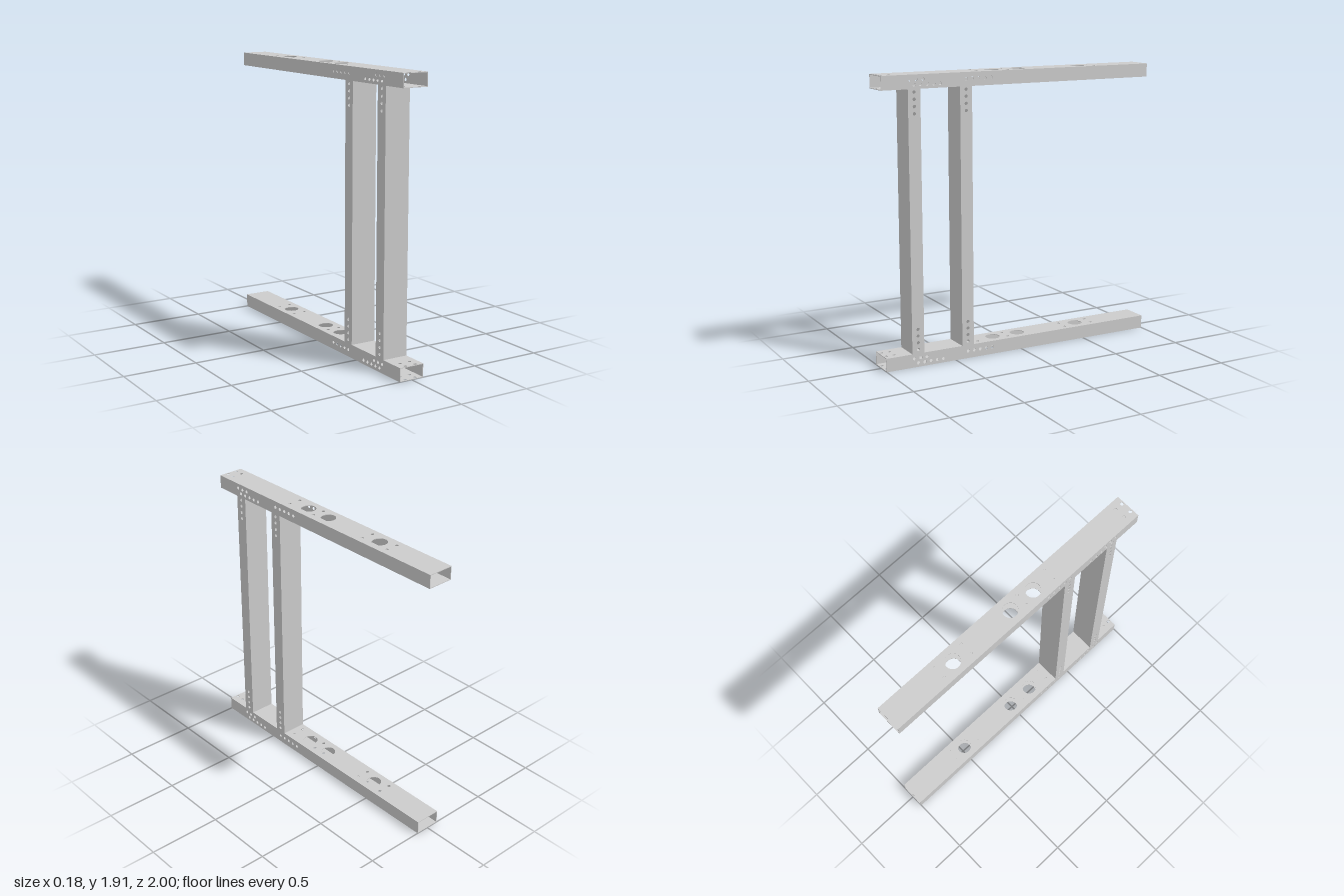
import * as THREE from 'three';

const WIDTH = 0.178, RAIL_H = 0.091, POST_D = 0.086, WALL = 0.004;
const HEIGHT = 1.91, LENGTH = 2, SMALL = 0.011, BIG = 0.05;
const POST_Z = [0.775, 0.41];
const PITCH = 0.0455;

const material = new THREE.MeshStandardMaterial({ color: 0xcccccc });

// Flat plate with round holes [u, v, radius], extruded by the wall thickness
function plate(u0, u1, v0, v1, holes = []) {
  const shape = new THREE.Shape();
  shape.moveTo(u0, v0).lineTo(u1, v0).lineTo(u1, v1).lineTo(u0, v1).closePath();
  for (const [u, v, r] of holes) {
    shape.holes.push(new THREE.Path().absarc(u, v, r, 0, Math.PI * 2, true));
  }
  return new THREE.ExtrudeGeometry(shape, { depth: WALL, bevelEnabled: false, curveSegments: 24 });
}

function add(group, name, geometry) {
  const mesh = new THREE.Mesh(geometry, material);
  mesh.name = name;
  group.add(mesh);
}

// Plate lying flat (u = x, v = z), with its upper face at y
const flat = (g, y) => g.rotateX(Math.PI / 2).translate(0, y, 0);
// Plate standing sideways (u = z, v = y), with its +x face at x
const upright = (g, x) => g.rotateY(-Math.PI / 2).translate(x, 0, 0);

// Evenly spaced row of small holes running towards -z
const row = (z, y, count) =>
  Array.from({ length: count }, (_, i) => [z - i * PITCH, y, SMALL]);

// Horizontal hollow rail, open at both ends
function createRail(name, y) {
  const rail = new THREE.Group();
  rail.name = name;
  const half = WIDTH / 2;

  // Cable openings and bolt holes through the top and bottom walls
  const topHoles = [-0.485, -0.013, 0.178].map((z) => [0, z, BIG]);
  for (const side of [-1, 1]) {
    for (const z of [-0.59, -0.375, 0.083, 0.316]) topHoles.push([side * 0.042, z, SMALL]);
    for (const z of [0.926, 0.982]) topHoles.push([side * 0.037, z, SMALL]);
  }
  // Bolt rows through the side walls beside each post
  const sideHoles = [...row(0.804, 0.06, 3), ...row(0.775, 0.027, 5), ...row(0.41, 0.049, 5)];

  for (const [part, h] of [['topWall', RAIL_H], ['bottomWall', WALL]]) {
    add(rail, part, flat(plate(-half, half, -LENGTH / 2, LENGTH / 2, topHoles), h));
  }
  for (const [part, x] of [['leftWall', half], ['rightWall', -half + WALL]]) {
    add(rail, part, upright(plate(-LENGTH / 2, LENGTH / 2, WALL, RAIL_H - WALL, sideHoles), x));
  }
  rail.position.y = y;
  return rail;
}

// Vertical hollow post between the rails
function createPost(name, z) {
  const post = new THREE.Group();
  post.name = name;
  const half = WIDTH / 2, d = POST_D / 2;
  const y0 = RAIL_H, y1 = HEIGHT - RAIL_H;

  // Four bolt holes near each end of the side walls
  const holes = [];
  for (let i = 0; i < 4; i++) {
    holes.push([0, 0.118 + i * PITCH, SMALL], [0, 1.8 - i * PITCH, SMALL]);
  }
  for (const [part, x] of [['leftWall', half], ['rightWall', -half + WALL]]) {
    add(post, part, upright(plate(-d, d, y0, y1, holes), x));
  }
  for (const [part, pz] of [['frontWall', d - WALL], ['backWall', -d]]) {
    add(post, part, plate(-half + WALL, half - WALL, y0, y1).translate(0, 0, pz));
  }
  post.position.z = z;
  return post;
}

export function createModel() {
  const model = new THREE.Group();
  model.name = 'frame';
  model.add(createRail('bottomRail', 0), createRail('topRail', HEIGHT - RAIL_H));
  model.add(createPost('frontPost', POST_Z[0]), createPost('rearPost', POST_Z[1]));
  return model;
}
